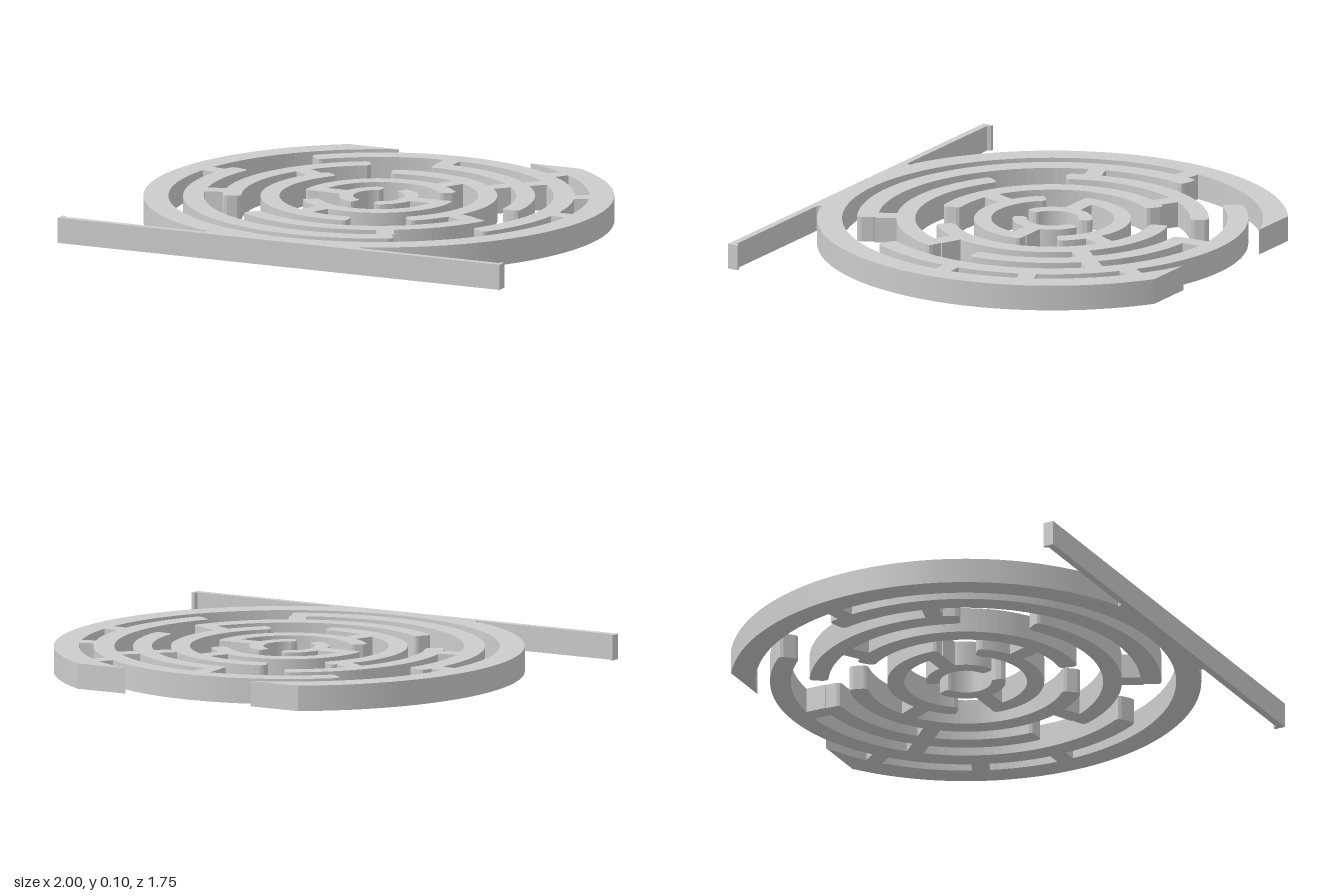
import * as THREE from 'three';

const HEIGHT = 0.105;   // plate thickness
const CZ = -0.07;       // z of the ring centre
const BACK = 0.805;     // flat cut behind the ring centre
const FRONT = -0.94;    // front edge, measured from the ring centre
const WALL = 0.072;     // width of the spokes
const CORNER = 0.018;   // rounding of free wall ends
const rad = THREE.MathUtils.degToRad;

// inner and outer radius of each ring, from the centre outwards
const RINGS = [
  [0.105, 0.163], [0.25, 0.32], [0.405, 0.483],
  [0.56, 0.637], [0.713, 0.798], [0.858, 0.96],
];

// free-standing walls: [ring, start angle, end angle], counterclockwise from above
const ARCS = [
  [0, -72, 72], [0, 108, 252],
  [1, 35, 187], [1, 217, 367],
  [2, -49, 109], [2, 141, 280],
  [3, 119, 206], [3, 235, 339], [3, -1, 94],
  [4, -32, 136], [4, 164, 300],
];

// radial walls: [angle, inner ring, outer ring]
const SPOKES = [
  [0, 0, 1], [180, 0, 1],
  [63, 1, 2], [249, 1, 2],
  [45, 2, 3], [149, 2, 3], [336, 2, 3],
  [45, 3, 4], [91, 3, 4], [196.5, 3, 4], [298, 3, 4],
  [0, 4, 5], [24, 4, 5], [54, 4, 5], [170, 4, 5],
];

const polar = (r, a) => new THREE.Vector2(r * Math.cos(a), r * Math.sin(a));

// curved wall with rounded corners at both ends
function arcShape([inner, outer], from, to) {
  const a0 = rad(from), a1 = rad(to), mid = (inner + outer) / 2;
  const steps = Math.ceil((to - from) / 3), c = CORNER / mid;
  const angles = [a0, a0 + c * 0.3, a0 + c];
  for (let i = 1; i < steps; i++) {
    const a = a0 + ((a1 - a0) * i) / steps;
    if (a > a0 + c && a < a1 - c) angles.push(a);
  }
  angles.push(a1 - c, a1 - c * 0.3, a1);
  const inset = (a) => {
    const s = Math.min(a - a0, a1 - a) * mid;
    return s >= CORNER ? 0 : CORNER - Math.sqrt(Math.max(0, CORNER ** 2 - (CORNER - s) ** 2));
  };
  const outside = angles.map((a) => polar(outer - inset(a), a));
  const inside = angles.map((a) => polar(inner + inset(a), a)).reverse();
  return new THREE.Shape([...outside, ...inside]);
}

// straight radial wall reaching slightly into both rings
function spokeShape(angle, from, to) {
  const a = rad(angle), h = WALL / 2;
  const r0 = RINGS[from][1] - 0.012, r1 = RINGS[to][0] + 0.012;
  const corners = [[r0, -h], [r1, -h], [r1, h], [r0, h]];
  return new THREE.Shape(corners.map(([x, y]) =>
    new THREE.Vector2(x, y).rotateAround(new THREE.Vector2(), a)));
}

// open outer ring, cut flat at the back and merged with the foot and base bar at the front
function frameShape() {
  const [inner, outer] = RINGS[5];
  const sweep = (r, from, to) => Array.from({ length: 121 }, (_, i) =>
    polar(r, from + ((to - from) * i) / 120));
  const outBack = Math.asin(BACK / outer), inBack = Math.asin(BACK / inner);
  const footAngle = Math.acos(0.37 / outer);
  const barTop = FRONT + 0.03;
  const left = [
    [-0.345, barTop + 0.02], [-0.355, barTop], [-0.98, barTop],
    [-0.987, barTop + 0.015], [-1, barTop + 0.015], [-1, FRONT],
  ].map(([x, y]) => new THREE.Vector2(x, y));
  const right = left.map((p) => new THREE.Vector2(-p.x, p.y)).reverse();
  return new THREE.Shape([
    ...sweep(outer, Math.PI - outBack, Math.PI + footAngle),
    ...left, ...right,
    ...sweep(outer, 2 * Math.PI - footAngle, 2 * Math.PI + outBack),
    ...sweep(inner, 2 * Math.PI + inBack, Math.PI - inBack),
  ]);
}

export function createModel() {
  const model = new THREE.Group();
  model.name = 'circularMaze';
  const material = new THREE.MeshStandardMaterial({ color: 0xcccccc });

  // extrude a plan outline upwards from the ground
  const add = (name, shape) => {
    const geometry = new THREE.ExtrudeGeometry(shape, { depth: HEIGHT, bevelEnabled: false });
    geometry.rotateX(-Math.PI / 2).translate(0, 0, CZ);
    const mesh = new THREE.Mesh(geometry, material);
    mesh.name = name;
    model.add(mesh);
  };

  add('outerRingWithBaseBar', frameShape());
  ARCS.forEach(([ring, from, to], i) => add(`curvedWall${i + 1}`, arcShape(RINGS[ring], from, to)));
  SPOKES.forEach((spoke, i) => add(`radialWall${i + 1}`, spokeShape(...spoke)));
  return model;
}
